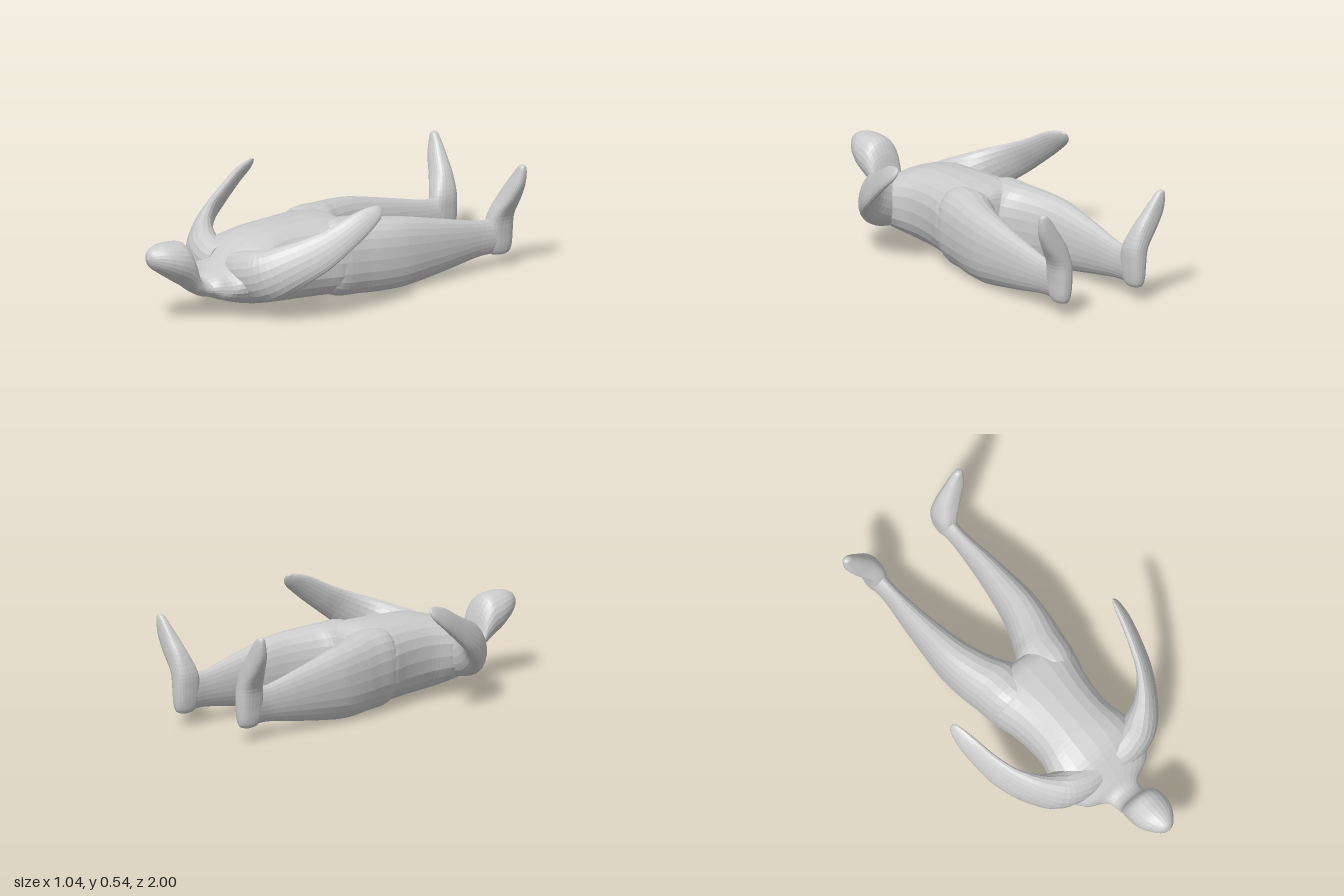
import * as THREE from 'three';

const material = new THREE.MeshStandardMaterial({ color: 0xcccccc, flatShading: true });
const V = (x, y, z) => new THREE.Vector3(x, y, z);

// Skin over rounded cross-sections. Each station: centre, half-width, half-height, squareness.
// frame(t, path) gives the two directions that span a section.
function loft(stations, frame, sides = 24, steps = 4) {
  const path = new THREE.CatmullRomCurve3(stations.map(s => V(s.c[0], s.c[1], s.c[2])), false, 'catmullrom');
  const size = new THREE.CatmullRomCurve3(stations.map(s => V(s.a, s.b, s.n ?? 2)), false, 'catmullrom');
  const rows = (stations.length - 1) * steps;
  const pos = [], index = [];
  for (let i = 0; i <= rows; i++) {
    const t = i / rows, c = path.getPoint(t), s = size.getPoint(t);
    const [u, v] = frame(t, path);
    for (let j = 0; j < sides; j++) {
      const ang = (j / sides) * Math.PI * 2, co = Math.cos(ang), si = Math.sin(ang);
      const du = Math.max(s.x, 0.001) * Math.sign(co) * Math.abs(co) ** (2 / s.z);
      const dv = Math.max(s.y, 0.001) * Math.sign(si) * Math.abs(si) ** (2 / s.z);
      pos.push(...c.clone().addScaledVector(u, du).addScaledVector(v, dv).toArray());
    }
  }
  for (let i = 0; i < rows; i++) {
    for (let j = 0; j < sides; j++) {
      const a = i * sides + j, b = i * sides + (j + 1) % sides;
      index.push(a, b, b + sides, a, b + sides, a + sides);
    }
  }
  // end caps
  const last = rows * sides;
  for (let j = 1; j < sides - 1; j++) {
    index.push(0, j + 1, j, last, last + j, last + j + 1);
  }
  // turn the faces outward
  const p = k => V(pos[3 * k], pos[3 * k + 1], pos[3 * k + 2]);
  let volume = 0;
  for (let k = 0; k < index.length; k += 3) {
    volume += p(index[k]).dot(p(index[k + 1]).cross(p(index[k + 2])));
  }
  const geo = new THREE.BufferGeometry();
  geo.setAttribute('position', new THREE.Float32BufferAttribute(pos, 3));
  geo.setIndex(volume < 0 ? index.reverse() : index);
  geo.computeVertexNormals();
  return geo;
}

// Rows [z, x0, x1, y0, y1, squareness] for parts running along z
const alongZ = rows => loft(rows.map(([z, x0, x1, y0, y1, n]) => ({
  c: [(x0 + x1) / 2, (y0 + y1) / 2, z], a: (x1 - x0) / 2, b: (y1 - y0) / 2, n,
})), () => [V(1, 0, 0), V(0, 1, 0)]);

// Rows [y, x0, x1, z0, z1, squareness] for parts running along y
const alongY = rows => loft(rows.map(([y, x0, x1, z0, z1, n]) => ({
  c: [(x0 + x1) / 2, y, (z0 + z1) / 2], a: (x1 - x0) / 2, b: (z1 - z0) / 2, n,
})), () => [V(1, 0, 0), V(0, 0, 1)]);

function mirrorX(geo) {
  const m = geo.clone().scale(-1, 1, 1);
  m.setIndex(Array.from(geo.index.array).reverse());
  m.computeVertexNormals();
  return m;
}

export function createModel() {
  const model = new THREE.Group();
  const add = (name, geo) => {
    const mesh = new THREE.Mesh(geo, material);
    mesh.name = name;
    model.add(mesh);
  };
  const addPair = (name, geo) => {
    add('left' + name, geo);
    add('right' + name, mirrorX(geo));
  };

  // Head and neck, face upward
  add('head', alongZ([
    [0.62, -0.1, 0.1, 0.095, 0.2],
    [0.68, -0.082, 0.082, 0.1, 0.187],
    [0.73, -0.08, 0.08, 0.122, 0.225],
    [0.76, -0.088, 0.088, 0.142, 0.325],
    [0.8, -0.098, 0.098, 0.172, 0.388],
    [0.86, -0.1, 0.1, 0.21, 0.4],
    [0.92, -0.083, 0.083, 0.25, 0.4],
    [0.97, -0.05, 0.05, 0.285, 0.385],
    [0.99, -0.028, 0.028, 0.31, 0.37],
    [1.0, -0.004, 0.004, 0.335, 0.345],
  ]));

  // Torso from neck base to crotch
  add('torso', alongZ([
    [0.67, -0.08, 0.08, 0.1, 0.188, 2],
    [0.64, -0.11, 0.11, 0.09, 0.205, 2],
    [0.6, -0.19, 0.19, 0.075, 0.245, 2],
    [0.5, -0.25, 0.25, 0.045, 0.335, 2.2],
    [0.4, -0.235, 0.235, 0.028, 0.37, 2.4],
    [0.3, -0.21, 0.21, 0.015, 0.385, 2.5],
    [0.2, -0.21, 0.21, 0.008, 0.39, 2.5],
    [0.1, -0.225, 0.225, 0.003, 0.392, 2.5],
    [0.0, -0.25, 0.25, 0.002, 0.388, 2.5],
    [-0.07, -0.23, 0.23, 0.01, 0.375, 2.5],
    [-0.12, -0.15, 0.15, 0.05, 0.33, 2.3],
    [-0.14, -0.02, 0.02, 0.17, 0.21, 2],
  ]));

  // Arms: round shoulders flattening into raised paddle hands
  const armUp = V(-0.5, 0.75, 0.3);
  const armFrame = (t, path) => {
    const tangent = path.getTangent(t);
    const up = armUp.clone().addScaledVector(tangent, -armUp.dot(tangent)).normalize();
    return [tangent.cross(up).normalize(), up];
  };
  addPair('Arm', loft([
    { c: [0.06, 0.2, 0.5], a: 0.09, b: 0.11 },
    { c: [0.16, 0.205, 0.495], a: 0.095, b: 0.125 },
    { c: [0.26, 0.225, 0.468], a: 0.085, b: 0.125 },
    { c: [0.355, 0.28, 0.4], a: 0.052, b: 0.108 },
    { c: [0.425, 0.34, 0.3], a: 0.032, b: 0.09 },
    { c: [0.46, 0.4, 0.2], a: 0.027, b: 0.073 },
    { c: [0.484, 0.464, 0.1], a: 0.023, b: 0.06 },
    { c: [0.493, 0.502, 0.03], a: 0.017, b: 0.042 },
    { c: [0.493, 0.522, 0.0], a: 0.01, b: 0.024 },
    { c: [0.492, 0.53, -0.012], a: 0.002, b: 0.004 },
  ], armFrame, 20));

  // Legs from inside the hips to the ankles
  addPair('Leg', alongZ([
    [0.08, 0.02, 0.2, 0.05, 0.34, 2.2],
    [0.0, 0.0, 0.25, 0.01, 0.38, 2.3],
    [-0.12, 0.0, 0.27, 0.002, 0.378, 2.3],
    [-0.2, 0.045, 0.283, 0.002, 0.368, 2.3],
    [-0.3, 0.09, 0.292, 0.004, 0.357, 2.3],
    [-0.4, 0.12, 0.292, 0.012, 0.342, 2.2],
    [-0.6, 0.155, 0.275, 0.04, 0.296, 2.1],
    [-0.8, 0.175, 0.254, 0.07, 0.25, 2],
    [-0.9, 0.174, 0.256, 0.072, 0.245, 2],
    [-0.95, 0.18, 0.25, 0.085, 0.23, 2],
  ]));

  // Feet: flat soles, toes up and turned outward
  addPair('Foot', alongY([
    [0.06, 0.205, 0.225, -0.95, -0.92, 2],
    [0.072, 0.185, 0.247, -0.985, -0.88, 2],
    [0.11, 0.175, 0.257, -0.997, -0.86, 2.4],
    [0.18, 0.17, 0.262, -1.0, -0.855, 2.6],
    [0.26, 0.172, 0.275, -1.0, -0.868, 2.6],
    [0.35, 0.205, 0.325, -1.0, -0.903, 2.6],
    [0.42, 0.25, 0.356, -0.998, -0.925, 2.5],
    [0.48, 0.292, 0.365, -0.995, -0.945, 2.4],
    [0.515, 0.32, 0.362, -0.99, -0.956, 2.2],
    [0.525, 0.335, 0.35, -0.98, -0.968, 2],
  ]));

  return model;
}
